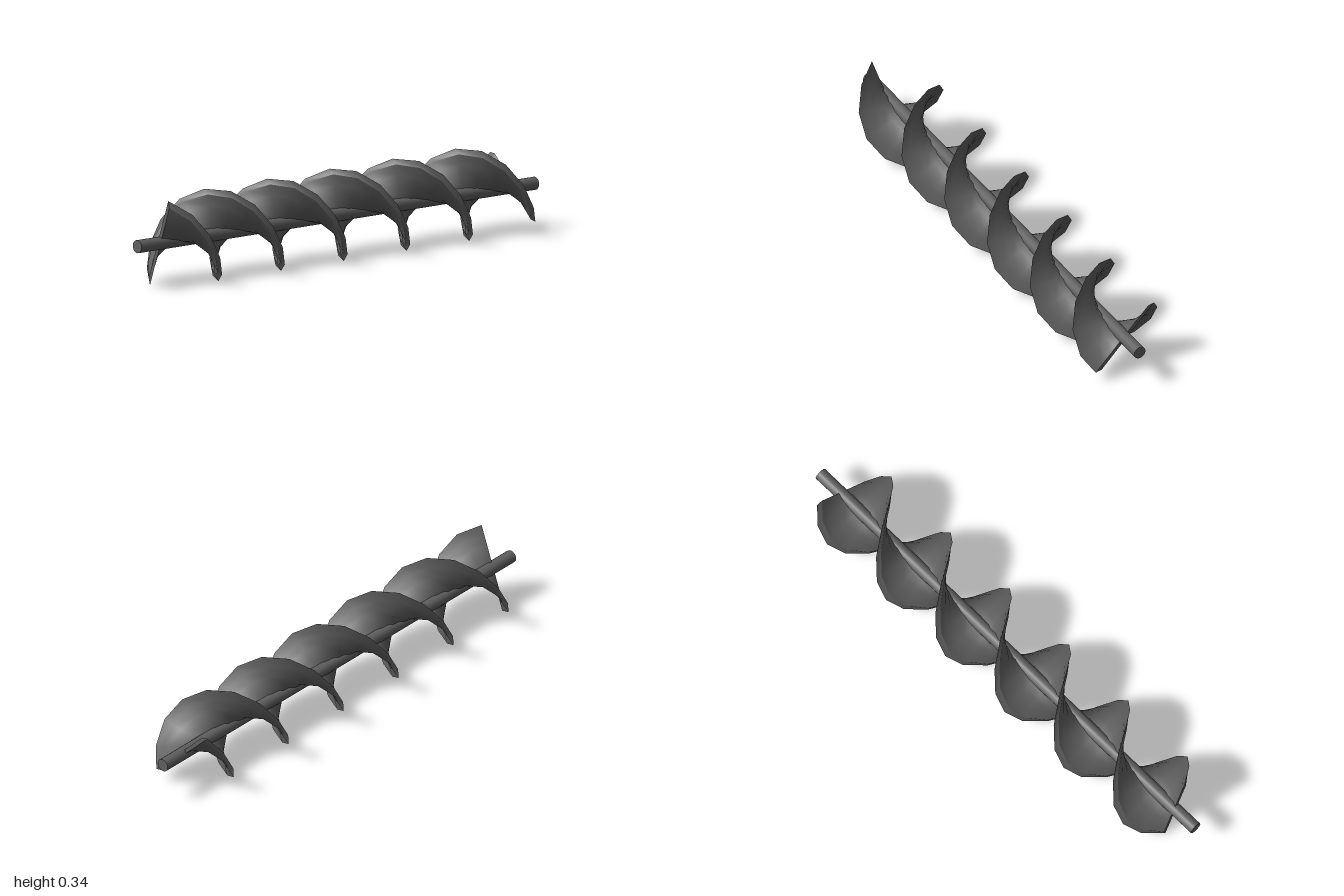
import * as THREE from 'three';

const STEP = Math.PI / 6;          // twist between neighbouring rings
const START = THREE.MathUtils.degToRad(19.4);
const LENGTH = 1.78;
const RINGS = 33.85;               // last segment is trimmed short
const AXIS_Y = 0.173;

// Blade section as [radial, tangential], with a slanted tip at both ends
const SECTION = [[0.1753, -0.0075], [0.153, 0.0075], [-0.1753, 0.0075], [-0.153, -0.0075]];

function fullRingPoint(u, v, i) {
  const a = START + i * STEP;
  return new THREE.Vector3(
    -LENGTH / 2 + (i * LENGTH) / RINGS,
    u * Math.cos(a) - v * Math.sin(a),
    u * Math.sin(a) + v * Math.cos(a)
  );
}

// Straight facets between full rings, so a partial ring lies on the chord
function ringPoint(u, v, t) {
  const i = Math.floor(t);
  return fullRingPoint(u, v, i).lerp(fullRingPoint(u, v, i + 1), t - i);
}

function makeGeometry(points, index) {
  const g = new THREE.BufferGeometry().setFromPoints(points);
  g.setIndex(index);
  g.computeVertexNormals();
  return g;
}

// One long side of the twisted blade, smooth along its length
function bladeSide(a, b, divisions) {
  const points = [], index = [], row = divisions + 1;
  const last = Math.ceil(RINGS);
  for (let i = 0; i <= last; i++) {
    for (let j = 0; j <= divisions; j++) {
      const f = j / divisions;
      points.push(ringPoint(
        THREE.MathUtils.lerp(a[0], b[0], f),
        THREE.MathUtils.lerp(a[1], b[1], f),
        Math.min(i, RINGS)
      ));
      if (i < last && j < divisions) {
        const k = i * row + j;
        index.push(k, k + 1, k + row + 1, k, k + row + 1, k + row);
      }
    }
  }
  return makeGeometry(points, index);
}

export function createModel() {
  const model = new THREE.Group();
  model.name = 'augerScrew';
  const steel = new THREE.MeshStandardMaterial({ color: 0x606060 });
  steel.name = 'darkSteel';

  const add = (parent, name, geometry) => {
    const mesh = new THREE.Mesh(geometry, steel);
    mesh.name = name;
    parent.add(mesh);
    return mesh;
  };

  // Central shaft
  const shaft = add(model, 'shaft', new THREE.CylinderGeometry(0.025, 0.025, 2, 16));
  shaft.rotation.z = Math.PI / 2;
  shaft.position.y = AXIS_Y;

  // Double helical blade: two broad faces and two narrow rims
  const blade = new THREE.Group();
  blade.name = 'helicalBlade';
  blade.position.y = AXIS_Y;
  model.add(blade);
  SECTION.forEach((a, i) => {
    const b = SECTION[(i + 1) % SECTION.length];
    const broad = i % 2 === 1;
    add(blade, broad ? 'bladeFace' : 'bladeRim', bladeSide(a, b, broad ? 8 : 1));
  });

  // Flat ends of the blade
  add(blade, 'bladeEndLeft', makeGeometry(SECTION.map(p => ringPoint(p[0], p[1], RINGS)), [0, 1, 2, 0, 2, 3]));
  add(blade, 'bladeEndRight', makeGeometry(SECTION.map(p => ringPoint(p[0], p[1], 0)), [0, 2, 1, 0, 3, 2]));

  return model;
}
